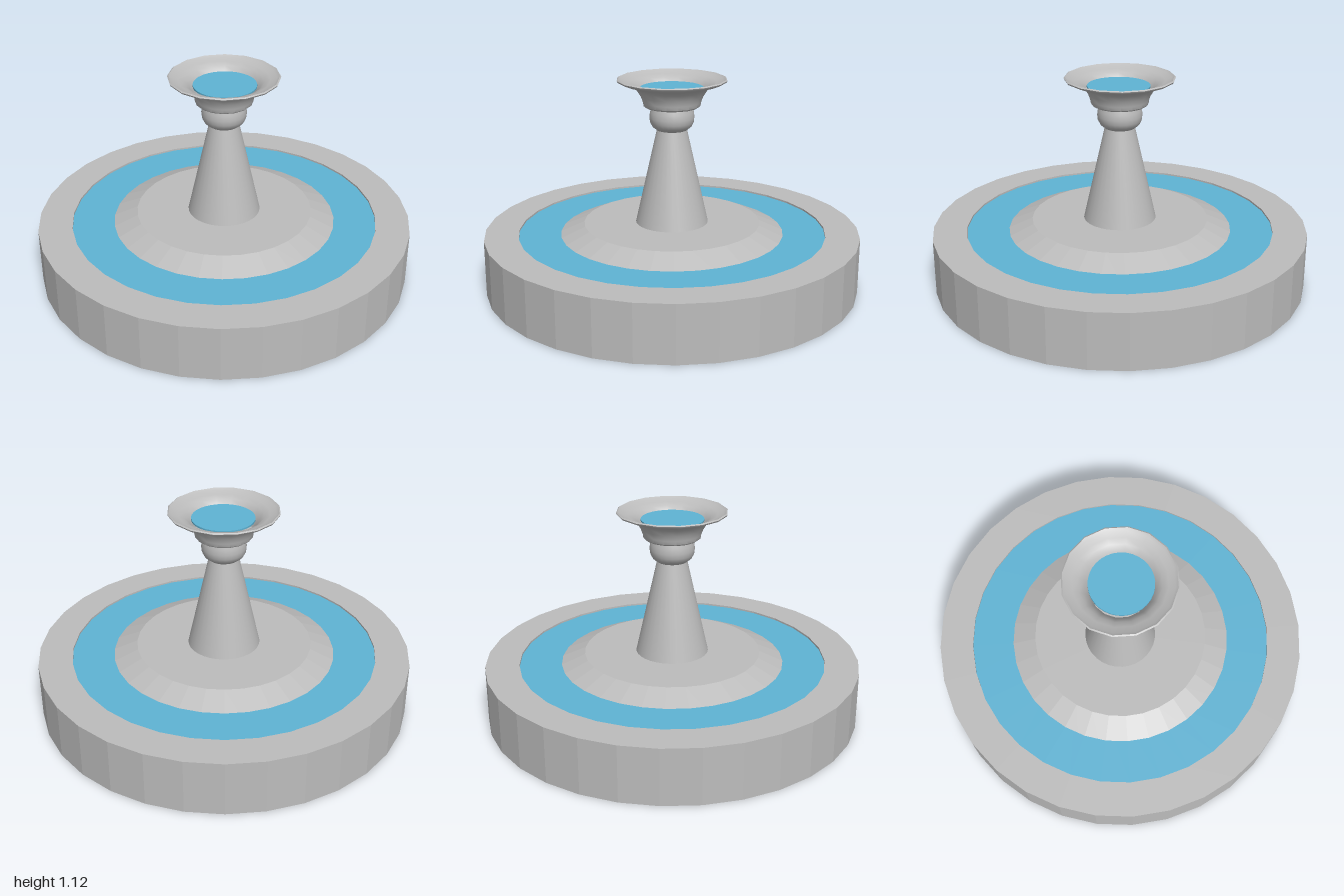
import * as THREE from 'three';
import { toCreasedNormals } from 'three/addons/utils/BufferGeometryUtils.js';

const stone = new THREE.MeshStandardMaterial({ color: 0xbcbcbc });
stone.name = 'grey stone';
const water = new THREE.MeshStandardMaterial({ color: 0x5fb3d4 });
water.name = 'blue water';

// Revolve a profile of [radius, height] points, running from the bottom up the outside
function turned(name, profile, sides, material, crease) {
  const points = profile.map(([r, y]) => new THREE.Vector2(r, y));
  let geometry = new THREE.LatheGeometry(points, sides);
  if (crease) {
    geometry = toCreasedNormals(geometry, crease);
  } else {
    geometry = geometry.toNonIndexed();
    geometry.computeVertexNormals();
  }
  const mesh = new THREE.Mesh(geometry, material);
  mesh.name = name;
  return mesh;
}

export function createModel() {
  const fountain = new THREE.Group();
  fountain.name = 'fountain';

  // Faceted round basin with a sunken floor
  fountain.add(turned('basin', [
    [0, 0], [1, 0], [1, 0.3], [0.82, 0.3], [0.82, 0.24], [0, 0.24],
  ], 32, stone));

  // Water ring just below the basin rim
  fountain.add(turned('basinWater', [[0.82, 0.29], [0.5, 0.29]], 32, water));

  // Low sloping plinth rising out of the water
  fountain.add(turned('plinth', [
    [0.71, 0.24], [0.47, 0.345], [0, 0.345],
  ], 32, stone));

  // Tapered column
  fountain.add(turned('column', [[0.193, 0.345], [0.077, 0.86]], 32, stone, 0.6));

  // Rounded collar under the bowl
  fountain.add(turned('collar', [
    [0.06, 0.85], [0.08, 0.85], [0.103, 0.868], [0.115, 0.892], [0.118, 0.917],
    [0.115, 0.945], [0.106, 0.975],
  ], 24, stone, 0.8));

  // Flared bowl: outside, lip, then inside
  fountain.add(turned('bowl', [
    [0, 0.972], [0.14, 0.972], [0.15, 0.98], [0.153, 1.0], [0.164, 1.03], [0.185, 1.063],
    [0.212, 1.083], [0.24, 1.09], [0.285, 1.108], [0.289, 1.116], [0.282, 1.121],
    [0.268, 1.112], [0.235, 1.102], [0.205, 1.09], [0.178, 1.063], [0.16, 1.03],
    [0.15, 1.005], [0, 1.005],
  ], 16, stone, 0.8));

  // Thin disc of water in the bowl
  const pool = turned('bowlWater', [
    [0, 1.066], [0.164, 1.066], [0.164, 1.075], [0, 1.075],
  ], 32, water);
  pool.position.x = 0.006;
  fountain.add(pool);

  return fountain;
}
